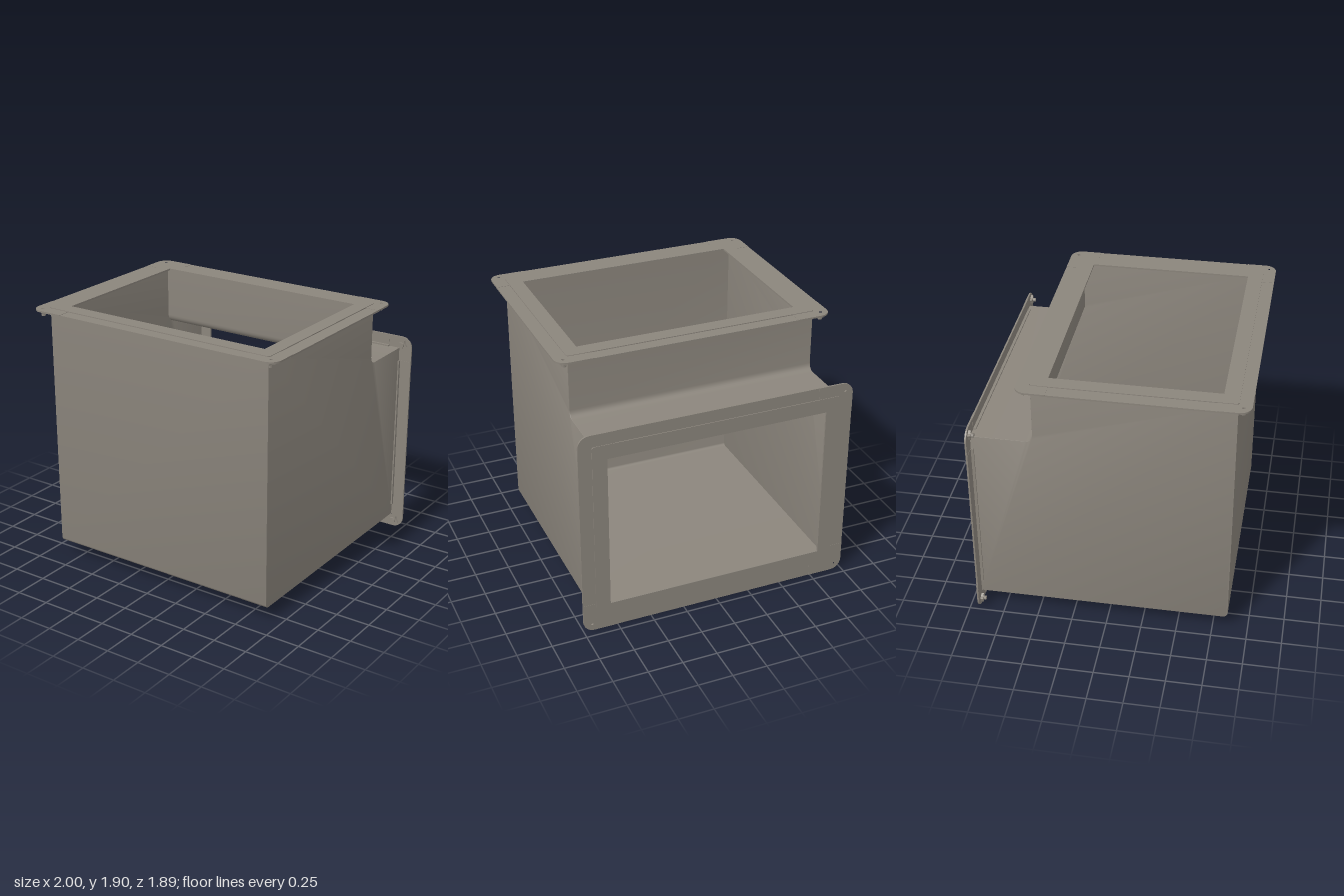
import * as THREE from 'three';
import { toCreasedNormals } from 'three/addons/utils/BufferGeometryUtils.js';

const steel = new THREE.MeshStandardMaterial({ color: 0x8b857c });
steel.name = 'galvanised grey';

// Shape from [x, y, cornerRadius] points
function roundedShape(points, Type = THREE.Shape) {
  const shape = new Type();
  const n = points.length;
  points.forEach(([x, y, r = 0], i) => {
    const toward = ([px, py]) => {
      const d = Math.hypot(px - x, py - y);
      return [x + ((px - x) * r) / d, y + ((py - y) * r) / d];
    };
    const a = toward(points[(i + n - 1) % n]);
    const b = toward(points[(i + 1) % n]);
    if (i === 0) shape.moveTo(...a);
    else shape.lineTo(...a);
    if (r) {
      // circular-looking corner
      const k = 0.45;
      shape.bezierCurveTo(
        x + (a[0] - x) * k, y + (a[1] - y) * k,
        x + (b[0] - x) * k, y + (b[1] - y) * k, ...b);
    }
  });
  shape.closePath();
  return shape;
}

const rect = (w, h, r = 0) => [[-w, -h, r], [w, -h, r], [w, h, r], [-w, h, r]];

function extrude(name, shape, from, to, options = {}) {
  const geo = new THREE.ExtrudeGeometry(shape, {
    depth: to - from, bevelEnabled: false, curveSegments: 6, ...options,
  });
  geo.translate(0, 0, from);
  const mesh = new THREE.Mesh(toCreasedNormals(geo, 0.6), steel);
  mesh.name = name;
  return mesh;
}

// Sheet-metal duct elbow; profiles are drawn in (z, y) and swept along x
function makeBody() {
  const body = new THREE.Group();
  body.name = 'ductBody';
  const front = 0.855, bottom = 0.095, top = 1.896, back = -0.936;
  const neck = -0.503, ledge = 1.45, t = 0.01;

  const outer = roundedShape([
    [back, bottom], [front, bottom, 0.035], [front, top],
    [front - t, top], [front - t, bottom + t, 0.025], [back, bottom + t],
  ]);
  const inner = roundedShape([
    [neck, top], [neck, ledge, 0.05], [back, ledge],
    [back, ledge - t], [neck + t, ledge - t, 0.06], [neck + t, top],
  ]);
  const side = roundedShape([
    [back, bottom], [front, bottom, 0.035], [front, top],
    [neck, top], [neck, ledge, 0.05], [back, ledge],
  ]);
  body.add(extrude('frontAndBottomWall', outer, -0.895, 0.895));
  body.add(extrude('ledgeWall', inner, -0.895, 0.895));
  for (const s of [-1, 1]) {
    const c = s * 0.895;
    body.add(extrude(s < 0 ? 'leftWall' : 'rightWall', side, c - 0.001, c + 0.001, {
      bevelEnabled: true, bevelSize: 0.004, bevelThickness: 0.004,
      bevelOffset: -0.004, bevelSegments: 2,
    }));
  }
  body.rotation.y = -Math.PI / 2;
  return body;
}

// Flange in its own xy plane, facing +z, outer face at z = 0
function makeFlange(name) {
  const flange = new THREE.Group();
  flange.name = name;
  const W = 1, H = 0.77;

  // raised rim, overhanging the inside of the duct
  const rim = roundedShape(rect(0.905, 0.682, 0.02));
  rim.holes.push(roundedShape(rect(0.8, 0.575), THREE.Path));
  flange.add(extrude('openingRim', rim, -0.012, 0));

  // angle rails: flat leaf plus a lip along the duct wall
  const box = (part, w, h, d, x, y, z) => {
    const mesh = new THREE.Mesh(new THREE.BoxGeometry(w, h, d), steel);
    mesh.name = part;
    mesh.position.set(x, y, z);
    flange.add(mesh);
  };
  for (const s of [-1, 1]) {
    box('railLeaf', 1.64, 0.088, 0.012, 0, s * 0.726, -0.012);
    box('railLip', 1.64, 0.01, 0.03, 0, s * 0.687, -0.022);
    box('railLeaf', 0.096, 1.17, 0.012, s * 0.952, 0, -0.012);
    box('railLip', 0.01, 1.17, 0.03, s * 0.909, 0, -0.022);
  }

  // corner plates with a bolt hole, and a star-shaped clip behind each
  for (const sx of [-1, 1]) {
    for (const sy of [-1, 1]) {
      const plate = roundedShape([
        [0.74, 0.682], [0.904, 0.682, 0.012], [0.904, 0.555],
        [W, 0.555], [W, H, 0.08], [0.74, H],
      ].map(([x, y, r]) => [sx * x, sy * y, r]));
      const hole = new THREE.Path();
      hole.absarc(sx * 0.94, sy * 0.715, 0.011, 0, Math.PI * 2, true);
      plate.holes.push(hole);
      flange.add(extrude('cornerPlate', plate, -0.016, -0.004));

      const star = [];
      for (let i = 0; i < 8; i++) {
        const r = i % 2 ? 0.018 : 0.036;
        const a = (i * Math.PI) / 4 + 0.3;
        star.push([r * Math.cos(a), r * Math.sin(a), 0.004]);
      }
      const clip = extrude('cornerClip', roundedShape(star), -0.034, -0.015);
      clip.position.set(sx * 0.935, sy * 0.715, 0);
      flange.add(clip);

      const nut = new THREE.Mesh(new THREE.CylinderGeometry(0.016, 0.016, 0.022, 6), steel);
      nut.name = 'cornerNut';
      nut.rotation.x = Math.PI / 2;
      nut.position.set(sx * 0.935, sy * 0.715, -0.043);
      flange.add(nut);
    }
  }
  return flange;
}

export function createModel() {
  const model = new THREE.Group();
  model.name = 'ductElbow';
  model.add(makeBody());

  const topFlange = makeFlange('topFlange');
  topFlange.rotation.x = -Math.PI / 2;
  topFlange.position.set(0, 1.905, 0.175);
  model.add(topFlange);

  const backFlange = makeFlange('backFlange');
  backFlange.rotation.y = Math.PI;
  backFlange.position.set(0, 0.77, -0.945);
  model.add(backFlange);
  return model;
}
